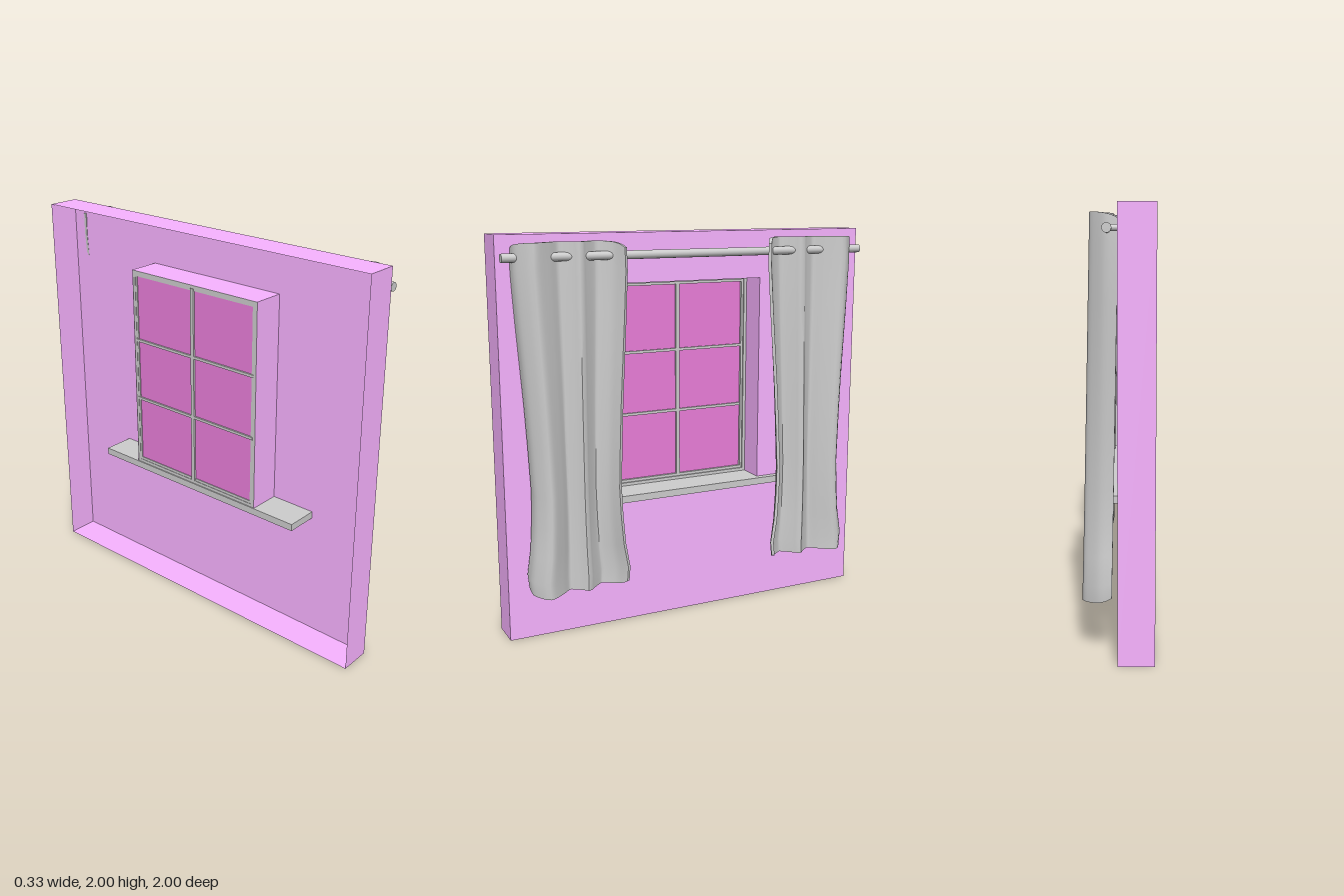
import * as THREE from 'three';
import { toCreasedNormals } from 'three/addons/utils/BufferGeometryUtils.js';

const grey = new THREE.MeshStandardMaterial({ color: 0xcccccc });
const clothMat = new THREE.MeshStandardMaterial({ color: 0xcccccc, side: THREE.DoubleSide });
const wallMat = new THREE.MeshStandardMaterial({ color: 0xf7b2ff, side: THREE.DoubleSide });
const glassMat = new THREE.MeshStandardMaterial({ color: 0xe87dd8, side: THREE.DoubleSide });

const DEPTH = 0.165; // wall depth, room face at x = 0
const WIN = { z: 0.405, y0: 0.68, y1: 1.755 };

function add(parent, name, geometry, material) {
  const mesh = new THREE.Mesh(geometry, material);
  mesh.name = name;
  parent.add(mesh);
  return mesh;
}

// Box given by its limits on each axis
function block(parent, name, x0, x1, y0, y1, z0, z1, material = grey) {
  const mesh = add(parent, name, new THREE.BoxGeometry(x1 - x0, y1 - y0, z1 - z0), material);
  mesh.position.set((x0 + x1) / 2, (y0 + y1) / 2, (z0 + z1) / 2);
}

// Four thin sheets running back from the room face around a rectangle
function sleeve(parent, name, halfZ, y0, y1) {
  const group = new THREE.Group();
  group.name = name;
  for (const s of [1, -1]) {
    const side = add(group, name + 'Side', new THREE.PlaneGeometry(DEPTH, y1 - y0), wallMat);
    side.position.set(-DEPTH / 2, (y0 + y1) / 2, s * halfZ);
    if (s < 0) side.rotation.y = Math.PI;
    const level = add(group, name + (s > 0 ? 'Top' : 'Bottom'), new THREE.PlaneGeometry(DEPTH, 2 * halfZ), wallMat);
    level.position.set(-DEPTH / 2, s > 0 ? y1 : y0, 0);
    level.rotation.x = -s * Math.PI / 2;
  }
  parent.add(group);
}

// Room face with the window opening
function wallFace() {
  const rect = (T, h, y0, y1) => new T([[-h, y0], [h, y0], [h, y1], [-h, y1]].map(p => new THREE.Vector2(...p)));
  const shape = rect(THREE.Shape, 1, 0, 2);
  shape.holes.push(rect(THREE.Path, WIN.z, WIN.y0, WIN.y1));
  return new THREE.ShapeGeometry(shape).rotateY(Math.PI / 2);
}

// Pleat line as [x, z], from the outer edge to the inner edge
const pleats = [
  [-0.004, 0.922], [0.05, 0.916], [0.112, 0.85], [0.065, 0.765], [0.025, 0.705], [0.06, 0.64],
  [0.083, 0.612], [0.06, 0.585], [0.012, 0.51], [0.058, 0.435], [0.118, 0.394],
].map(([x, z]) => new THREE.Vector3(x, 0, z));

// Heights and half-widths of the hanging cloth
const levels = [
  [1.965, 0.268], [1.85, 0.27], [1.6, 0.256], [1.4, 0.243], [1.2, 0.23], [1.0, 0.22],
  [0.75, 0.21], [0.6, 0.215], [0.45, 0.226], [0.32, 0.247], [0.245, 0.24],
];

function curtainGeometry(side) {
  const N = 45, half = 0.008, centreZ = 0.66;
  const curve = new THREE.CatmullRomCurve3(pleats, false, 'catmullrom', 0.3);
  const section = curve.getSpacedPoints(N - 1);
  const pos = [], idx = [];
  const tri = (a, b, c) => (side > 0 ? idx.push(a, b, c) : idx.push(a, c, b));

  for (const [y, w] of levels) {
    const t = (1.965 - y) / 1.72;
    const row = section.map(p => [p.x * (1 + 0.08 * t) + 0.03 * t, centreZ + (p.z - centreZ) * w / 0.27]);
    for (let j = 0; j < 2 * N; j++) {
      const front = j < N, i = front ? j : 2 * N - 1 - j;
      const a = row[Math.max(i - 1, 0)], b = row[Math.min(i + 1, N - 1)];
      const tx = b[0] - a[0], tz = b[1] - a[1], k = (front ? half : -half) / Math.hypot(tx, tz);
      // hem and heading round off towards the edges
      const round = 1 - 0.035 * Math.abs(2 * i / (N - 1) - 1) ** 8;
      pos.push(row[i][0] - tz * k, 1.105 + (y - 1.105) * round, side * (row[i][1] + tx * k));
    }
  }

  const M = 2 * N, last = (levels.length - 1) * M;
  for (let r = 0; r < levels.length - 1; r++) {
    for (let j = 0; j < M; j++) {
      const a = r * M + j, b = r * M + (j + 1) % M;
      tri(a, a + M, b);
      tri(b, a + M, b + M);
    }
  }
  // top and bottom edges of the cloth
  for (let j = 0; j < N - 1; j++) {
    const f = j, g = j + 1, bf = M - 1 - j, bg = M - 2 - j;
    tri(f, g, bg);
    tri(f, bg, bf);
    tri(last + f, last + bg, last + g);
    tri(last + f, last + bf, last + bg);
  }
  const geo = new THREE.BufferGeometry();
  geo.setAttribute('position', new THREE.Float32BufferAttribute(pos, 3));
  geo.setIndex(idx);
  return toCreasedNormals(geo, 1.0);
}

export function createModel() {
  const model = new THREE.Group();
  model.name = 'curtainedWindow';

  // Hollow wall section, open at the back
  const wall = new THREE.Group();
  wall.name = 'wall';
  add(wall, 'wallFace', wallFace(), wallMat);
  sleeve(wall, 'wallRim', 1, 0, 2);
  sleeve(wall, 'windowRecess', WIN.z, WIN.y0, WIN.y1);
  model.add(wall);

  // Window: outer frame, inner sash, glazing bars and glass
  const win = new THREE.Group();
  win.name = 'window';
  const ring = (name, x0, x1, h, y0, y1, t) => {
    block(win, name + 'Top', x0, x1, y1 - t, y1, -h, h);
    block(win, name + 'Bottom', x0, x1, y0, y0 + t, -h, h);
    for (const s of [1, -1]) {
      const z = s * (h - t / 2);
      block(win, name + 'Side', x0, x1, y0 + t, y1 - t, z - t / 2, z + t / 2);
    }
  };
  ring('frame', -0.164, -0.137, 0.404, 0.682, 1.754, 0.016);
  ring('sash', -0.162, -0.145, 0.39, 0.698, 1.74, 0.014);
  block(win, 'verticalBar', -0.168, -0.147, 0.7, 1.738, -0.01, 0.01);
  for (const y of [1.06, 1.385]) block(win, 'horizontalBar', -0.167, -0.149, y - 0.007, y + 0.007, -0.39, 0.39);
  const glass = add(win, 'glass', new THREE.PlaneGeometry(0.78, 1.04).rotateY(Math.PI / 2), glassMat);
  glass.position.set(-0.158, 1.219, 0);
  model.add(win);

  // Sill running through the wall
  block(model, 'sill', -0.168, 0.033, 0.645, 0.681, -0.645, 0.645);

  // Curtain rod and its wall brackets
  const rod = add(model, 'curtainRod', new THREE.CylinderGeometry(0.021, 0.021, 1.97, 20).rotateX(Math.PI / 2), grey);
  rod.position.set(0.045, 1.895, 0);
  for (const s of [1, -1]) {
    const bracket = add(model, 'rodBracket', new THREE.CylinderGeometry(0.014, 0.014, 0.045, 16).rotateZ(Math.PI / 2), grey);
    bracket.position.set(0.0225, 1.895, s * 0.953);
  }

  // Pair of pleated curtains
  add(model, 'leftCurtain', curtainGeometry(1), clothMat);
  add(model, 'rightCurtain', curtainGeometry(-1), clothMat);
  return model;
}
